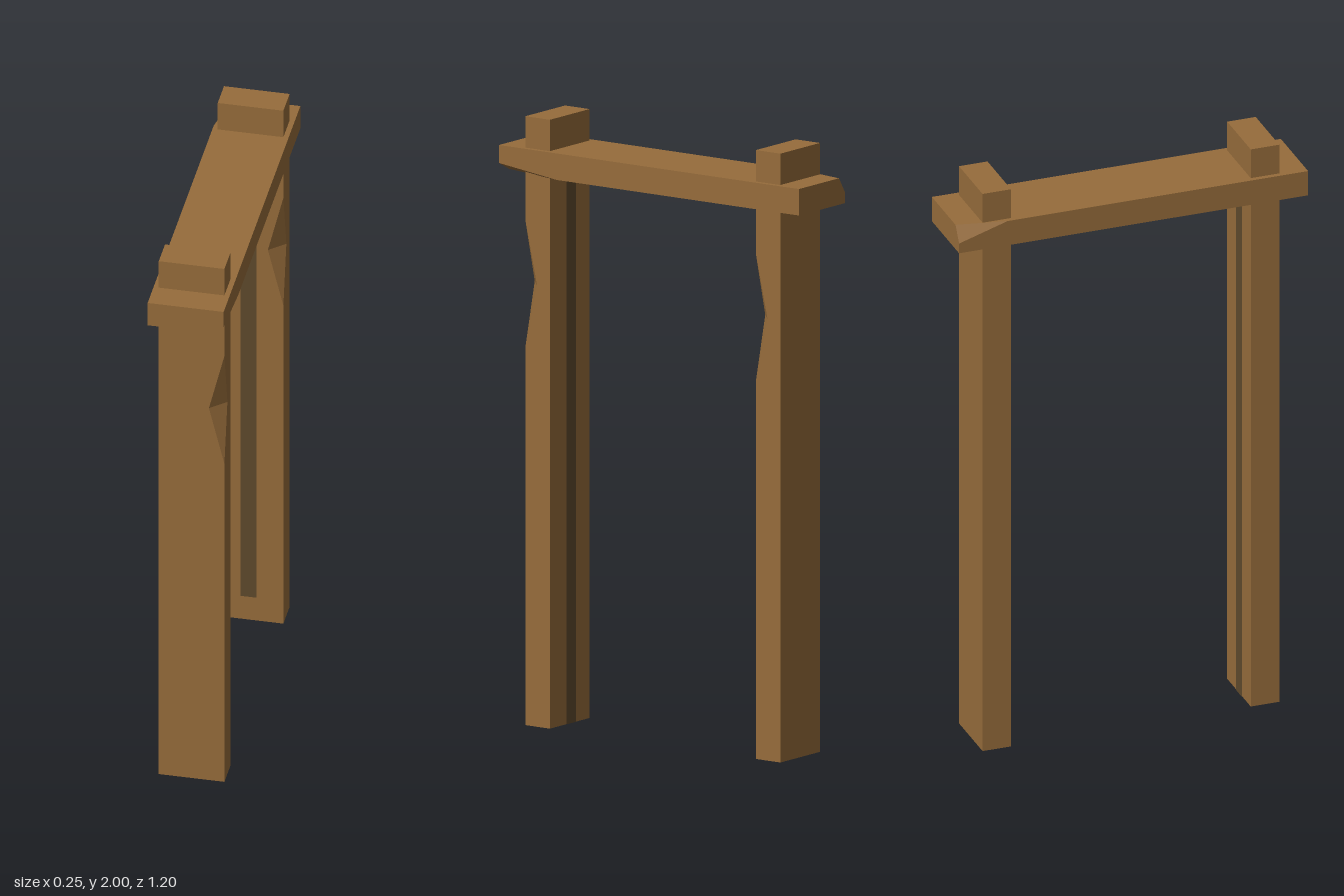
import * as THREE from 'three';
import { ConvexGeometry } from 'three/addons/geometries/ConvexGeometry.js';

const wood = new THREE.MeshStandardMaterial({ color: 0x966c3b, flatShading: true });
const darkWood = new THREE.MeshStandardMaterial({ color: 0x5f4a2c, flatShading: true, side: THREE.DoubleSide });

// Flat-faced solid: every face is a list of corners, fanned from its first one
function facedGeometry(points, faces) {
  const out = [];
  for (const f of faces) {
    for (let i = 1; i < f.length - 1; i++) out.push(...points[f[0]], ...points[f[i]], ...points[f[i + 1]]);
  }
  const g = new THREE.BufferGeometry();
  g.setAttribute('position', new THREE.Float32BufferAttribute(out, 3));
  g.computeVertexNormals();
  return g;
}

// Upright plank with an axe chip cut out of its +x, +z edge
function postGeometry(w, d, h) {
  const points = [
    [-w, 0, d], [w, 0, d], [w, 0, -d], [-w, 0, -d],
    [-w, h, d], [w, h, d], [w, h, -d], [-w, h, -d],
    [w, 1.24, d], [w, 1.66, d],                 // 8, 9: ends of the chip
    [0.057, 1.45, d], [w, 1.45, d - 0.047],     // 10, 11: its deepest corners
  ];
  return facedGeometry(points, [
    [10, 9, 5, 4, 0, 1, 8],   // front
    [11, 8, 1, 2, 6, 5, 9],   // chipped side
    [3, 7, 6, 2],             // back
    [0, 4, 7, 3],             // plain side
    [4, 5, 6, 7],             // top
    [0, 3, 2, 1],             // bottom
    [9, 10, 11], [8, 11, 10], // chip
  ]);
}

// Lintel plank with two opposite corners chipped off
function beamGeometry(w, y0, y1, l) {
  const points = [
    [-w, y0, l], [-w, y1, l], [w, y1, l],
    [w, y0, -l], [w, y1, -l], [-w, y0, -l],
    [0.07, y0, l], [w, 1.838, l], [w, y0, 0.37],         // lower front chip
    [-0.092, y1, -l], [-w, y1, -0.433], [-w, 1.845, -l], // upper back chip
  ];
  return new ConvexGeometry(points.map((p) => new THREE.Vector3(...p)));
}

export function createModel() {
  const model = new THREE.Group();
  const add = (name, geometry, material, x = 0, y = 0, z = 0) => {
    const mesh = new THREE.Mesh(geometry, material);
    mesh.name = name;
    mesh.position.set(x, y, z);
    model.add(mesh);
    return mesh;
  };

  // Posts and lintel
  const halfDepth = 0.049;
  const post = postGeometry(0.108, halfDepth, 2);
  add('frontPost', post, wood, 0, 0, 0.458);
  add('backPost', post, wood, 0, 0, -0.464);
  add('beam', beamGeometry(0.125, 1.81, 1.897, 0.6), wood);

  // Dark inlay strips on the inner faces of the posts
  const strip = (name, y0, y1, z) =>
    add(name, new THREE.PlaneGeometry(0.052, y1 - y0), darkWood, -0.006, (y0 + y1) / 2, z);
  strip('frontPostStrip', 0, 1.81, 0.458 - halfDepth - 0.002).rotation.y = Math.PI;
  strip('backPostStrip', 0.09, 1.46, -0.464 + halfDepth + 0.002);

  // Strips under the beam
  for (const [z0, z1] of [[0.02, 0.19], [-0.4, -0.23]]) {
    const m = add('beamStrip', new THREE.PlaneGeometry(0.052, z1 - z0), darkWood, -0.006, 1.808, (z0 + z1) / 2);
    m.rotation.x = Math.PI / 2;
  }
  return model;
}
